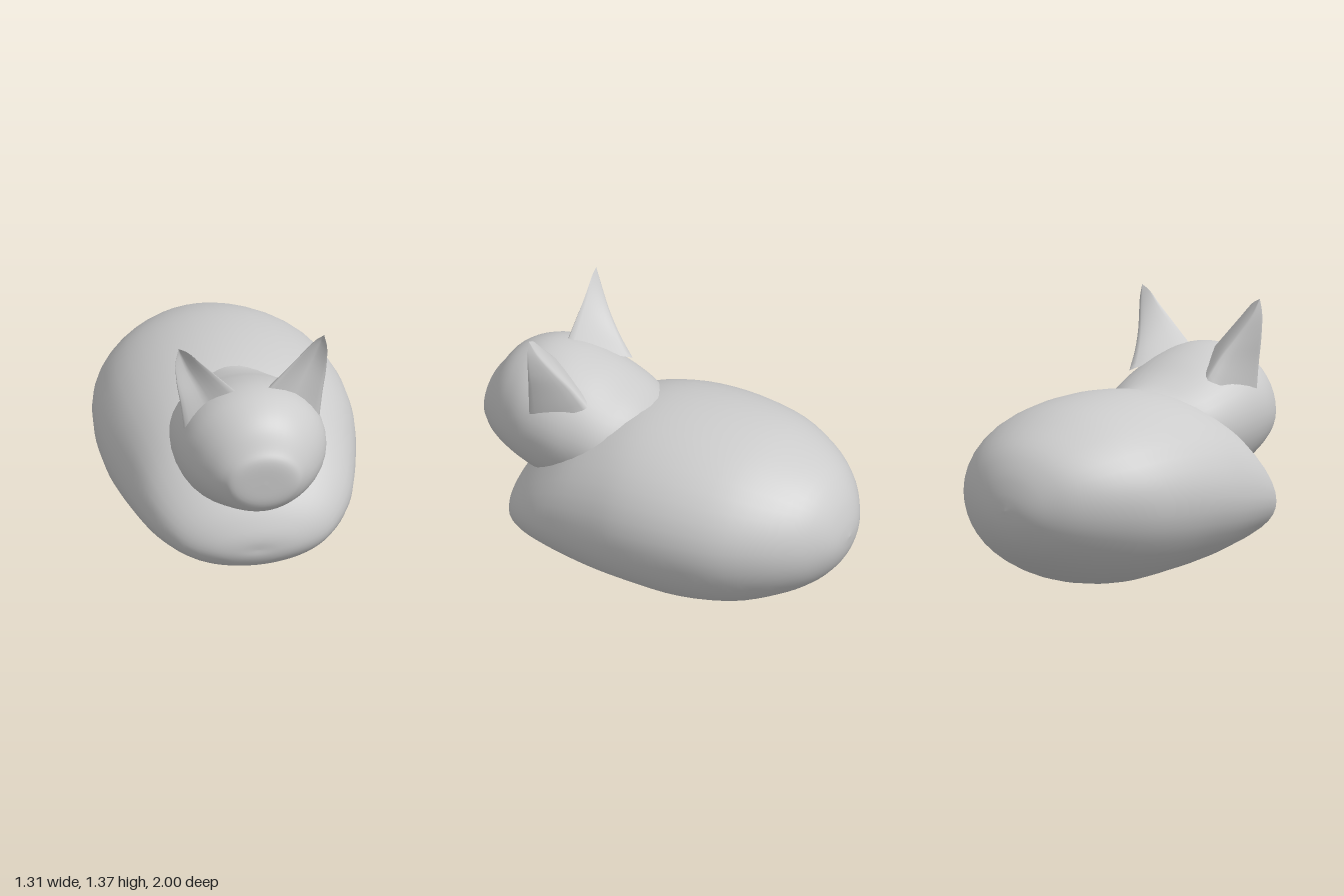
import * as THREE from 'three';

const material = new THREE.MeshStandardMaterial({ color: 0xcccccc });

// Skin a list of equal-length rings, each closed on itself
function skin(rings) {
  const n = rings[0].length, index = [];
  for (let i = 0; i < rings.length - 1; i++) {
    for (let j = 0; j < n; j++) {
      const a = i * n + j, b = i * n + (j + 1) % n;
      index.push(a, b, b + n, a, b + n, a + n);
    }
  }
  const geometry = new THREE.BufferGeometry().setFromPoints(rings.flat());
  geometry.setIndex(index);
  geometry.computeVertexNormals();
  return geometry;
}

// Loft egg-shaped sections along z; rows are [z, halfWidth, bottom, middle, top]
function loftSections(rows, steps = 48, sides = 40) {
  const curve = (f) => new THREE.CatmullRomCurve3(rows.map(f), false, 'catmullrom', 0.5);
  const shape = curve(([z, w, , m]) => new THREE.Vector3(w, m, z));
  const heights = curve(([, , b, , t]) => new THREE.Vector3(b, t, 0));
  const rings = [];
  for (let i = 0; i <= steps; i++) {
    const s = shape.getPoint(i / steps), h = heights.getPoint(i / steps);
    const ring = [];
    for (let j = 0; j < sides; j++) {
      const a = (j / sides) * Math.PI * 2, sin = Math.sin(a);
      const reach = sin > 0 ? h.y - s.y : s.y - h.x;
      ring.push(new THREE.Vector3(Math.cos(a) * Math.max(s.x, 0), s.y + sin * reach, s.z));
    }
    rings.push(ring);
  }
  return skin(rings);
}

// Ear: three edges run up to one tip, with a slightly hollow front
function earGeometry() {
  const edge = (points) => new THREE.CatmullRomCurve3(points.map((p) => new THREE.Vector3(...p)));
  const tip = [0.375, 1.375, 0.63];
  const inner = edge([[0.05, 1.07, 0.64], [0.16, 1.18, 0.635], [0.26, 1.28, 0.63], [0.33, 1.35, 0.63], tip]);
  const outer = edge([[0.345, 0.88, 0.64], [0.365, 1.05, 0.635], [0.385, 1.18, 0.63], [0.39, 1.3, 0.63], tip]);
  const back = edge([[0.25, 0.98, 0.36], [0.27, 1.08, 0.44], [0.31, 1.18, 0.52], [0.355, 1.29, 0.59], tip]);
  const rings = [], steps = 16;
  for (let i = 0; i <= steps; i++) {
    const t = i / steps;
    const o = outer.getPoint(t), b = back.getPoint(t), n = inner.getPoint(t);
    const front = o.clone().lerp(n, 0.5);
    front.z -= 0.03 * Math.sin(t * Math.PI);
    const loop = new THREE.CatmullRomCurve3([o, b, n, front], true, 'catmullrom', 0.3);
    rings.push(loop.getPoints(24).slice(0, -1));
  }
  return skin(rings);
}

export function createModel() {
  const model = new THREE.Group();
  model.name = 'lyingCat';
  const add = (name, geometry) => {
    const mesh = new THREE.Mesh(geometry, material);
    mesh.name = name;
    model.add(mesh);
    return mesh;
  };

  // Loaf-shaped body, from rump to folded front paws
  add('body', loftSections([
    [-1.0, 0, 0.46, 0.46, 0.46],
    [-0.985, 0.12, 0.37, 0.46, 0.55],
    [-0.94, 0.23, 0.28, 0.47, 0.66],
    [-0.85, 0.36, 0.19, 0.48, 0.765],
    [-0.7, 0.49, 0.105, 0.49, 0.85],
    [-0.5, 0.595, 0.035, 0.49, 0.92],
    [-0.25, 0.645, 0.0, 0.49, 0.955],
    [0.0, 0.65, 0.015, 0.47, 0.955],
    [0.2, 0.62, 0.03, 0.44, 0.92],
    [0.4, 0.575, 0.06, 0.41, 0.83],
    [0.55, 0.525, 0.09, 0.38, 0.7],
    [0.67, 0.45, 0.115, 0.34, 0.57],
    [0.75, 0.36, 0.145, 0.3, 0.47],
    [0.8, 0.24, 0.185, 0.28, 0.38],
    [0.82, 0.12, 0.23, 0.27, 0.32],
    [0.82, 0, 0.27, 0.27, 0.27],
  ]));

  // Neck flowing out of the back into a round head with a blunt face
  add('headAndNeck', loftSections([
    [-0.05, 0.18, 0.5, 0.7, 0.92],
    [0.12, 0.26, 0.48, 0.71, 0.945],
    [0.27, 0.35, 0.45, 0.72, 0.995],
    [0.43, 0.38, 0.42, 0.74, 1.065],
    [0.58, 0.385, 0.42, 0.77, 1.11],
    [0.71, 0.37, 0.46, 0.78, 1.115],
    [0.82, 0.325, 0.51, 0.77, 1.08],
    [0.9, 0.27, 0.545, 0.76, 1.02],
    [0.96, 0.21, 0.58, 0.76, 0.93],
    [0.995, 0.15, 0.64, 0.75, 0.87],
    [1.0, 0, 0.75, 0.75, 0.75],
  ]));

  // Mirrored pair of ears
  const ear = earGeometry();
  add('leftEar', ear);
  add('rightEar', ear).scale.x = -1;

  return model;
}
